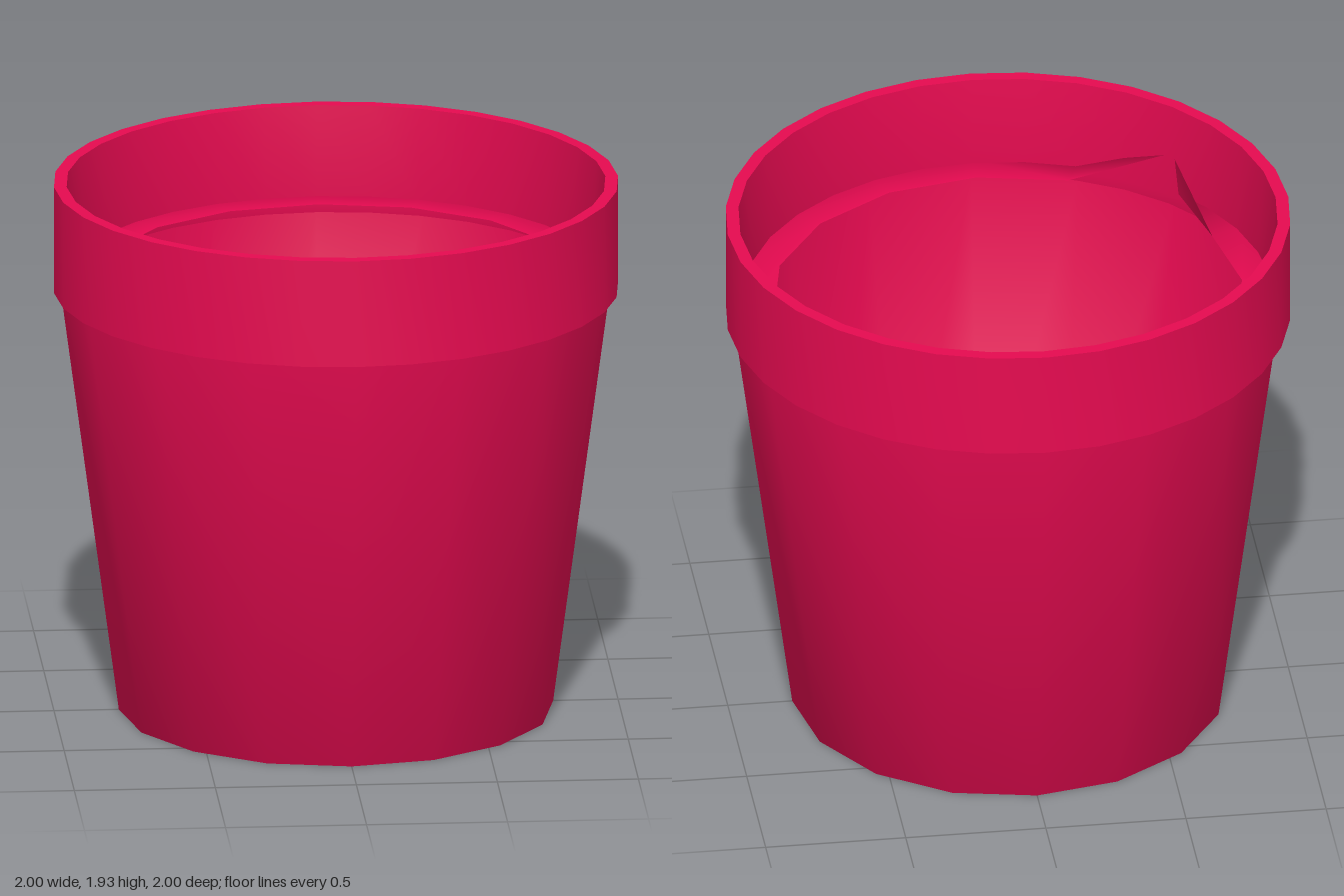
import * as THREE from 'three';
import { mergeVertices, toCreasedNormals } from 'three/addons/utils/BufferGeometryUtils.js';

const CHIP = -Math.PI / 4; // direction of the damaged spot, front right

function turned(profile, sides) {
  return new THREE.LatheGeometry(profile.map(([r, y]) => new THREE.Vector2(r, y)), sides);
}

export function createModel() {
  const model = new THREE.Group();
  model.name = 'flowerPot';
  const material = new THREE.MeshStandardMaterial({ color: 0xe60a50, side: THREE.DoubleSide });

  // Thin tapered shell with a flat bottom and a ledge around the opening
  const shell = turned([[0, 0], [0.77, 0], [0.975, 1.54], [0.96, 1.6], [0.835, 1.6]], 16);
  shell.deleteAttribute('uv');
  shell.deleteAttribute('normal');

  // The ledge is bent up against the collar at the chip
  const pos = shell.attributes.position;
  for (let i = 0; i < pos.count; i++) {
    const x = pos.getX(i), y = pos.getY(i), z = pos.getZ(i);
    const atLip = y > 1.58 && Math.hypot(x, z) < 0.9;
    if (atLip && Math.abs(Math.atan2(x, z) - CHIP) < 0.1) {
      pos.setXYZ(i, 0.955 * Math.sin(CHIP), 1.74, 0.955 * Math.cos(CHIP));
    }
  }

  // Shared corners give one soft shading across wall, bottom and ledge
  const bodyGeometry = mergeVertices(shell);
  bodyGeometry.computeVertexNormals();
  const body = new THREE.Mesh(bodyGeometry, material);
  body.name = 'body';

  // Upright collar
  const rimProfile = [
    [0.94, 1.54], [1, 1.54], [1, 1.93],
    [0.955, 1.93], [0.935, 1.58], [0.94, 1.54],
  ];
  const rim = new THREE.Mesh(toCreasedNormals(turned(rimProfile, 32), 0.6), material);
  rim.name = 'rim';

  model.add(body, rim);
  return model;
}
